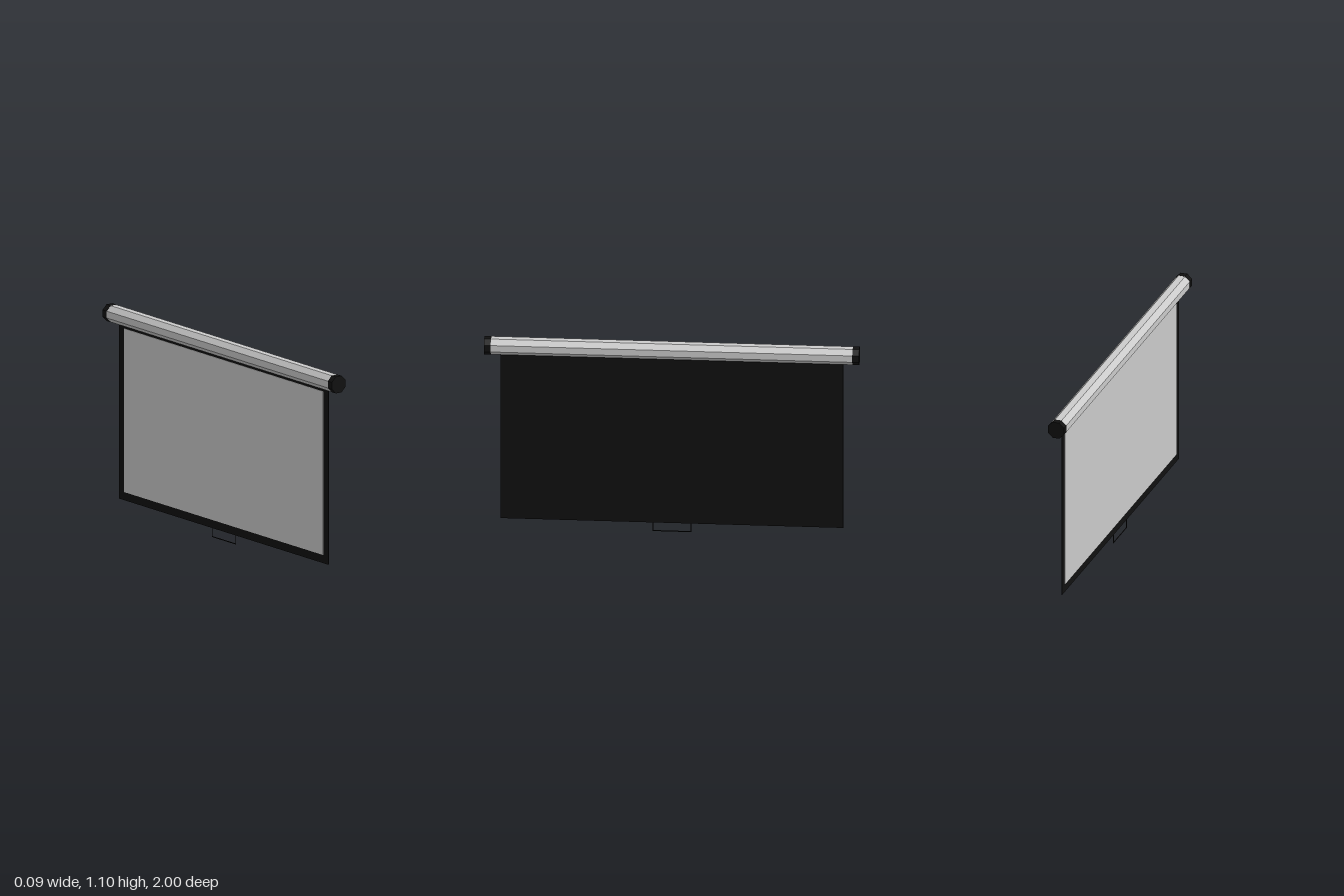
import * as THREE from 'three';

export function createModel() {
  const group = new THREE.Group();
  const grey = new THREE.MeshStandardMaterial({ color: 0xcccccc, flatShading: true });
  const black = new THREE.MeshStandardMaterial({ color: 0x101010, flatShading: true });

  const add = (name, geometry, material, x, y, z) => {
    const mesh = new THREE.Mesh(geometry, material);
    mesh.name = name;
    mesh.position.set(x, y, z);
    group.add(mesh);
  };

  // Octagonal prism along z with flat top, bottom and sides
  const octagon = (halfHeight, length) => {
    const r = halfHeight / Math.cos(Math.PI / 8);
    return new THREE.CylinderGeometry(r, r, length, 8, 1, false, Math.PI / 8).rotateX(Math.PI / 2);
  };

  // Roller casing with end caps
  const axisY = 1.055;
  add('casing', octagon(0.045, 1.93), grey, 0, axisY, 0);
  for (const s of [1, -1]) add('endCap', octagon(0.0455, 0.036), black, 0, axisY, s * 0.982);

  // Black backing sheet, with the pale projection surface on its -x side
  add('backingSheet', new THREE.BoxGeometry(0.003, 0.98, 1.826), black, -0.0005, 0.54, 0);
  add('projectionSurface', new THREE.BoxGeometry(0.002, 0.897, 1.738), grey, -0.003, 0.5435, 0);

  // Pull handle: thin wire bracket under the sheet
  const wire = 0.005;
  add('handleGrip', new THREE.BoxGeometry(0.002, wire, 0.21), black, 0, wire / 2, 0);
  for (const s of [1, -1]) {
    add('handleArm', new THREE.BoxGeometry(0.002, 0.048, wire), black, 0, 0.029, s * (0.105 - wire / 2));
  }

  return group;
}
